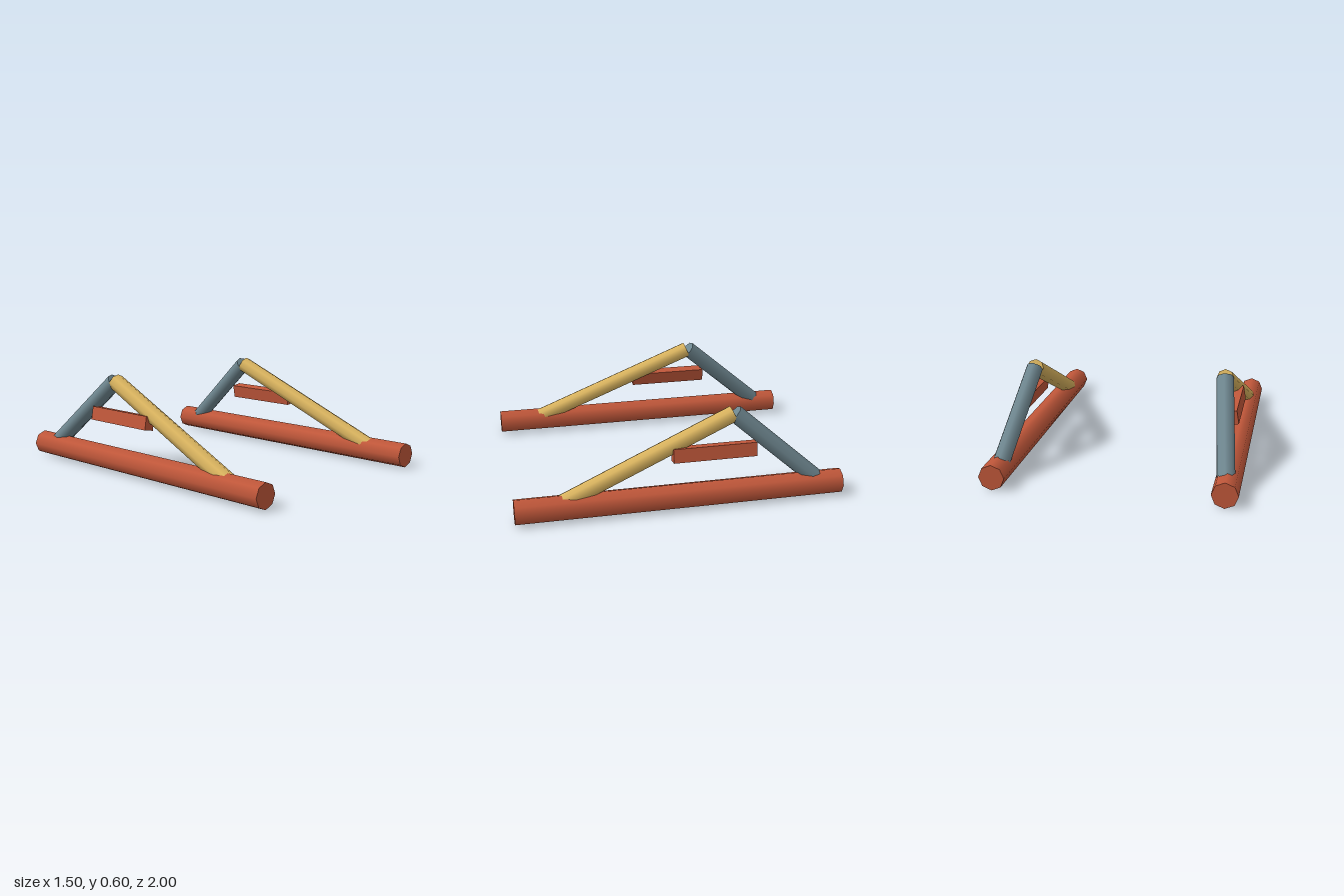
import * as THREE from 'three';

const red = new THREE.MeshStandardMaterial({ color: 0xc0573a });
const gold = new THREE.MeshStandardMaterial({ color: 0xdab45f });
const slate = new THREE.MeshStandardMaterial({ color: 0x6f8790 });

// Eight-sided smooth rod between two points
function rod(name, from, to, radius, material) {
  const a = new THREE.Vector3(...from);
  const b = new THREE.Vector3(...to);
  const mesh = new THREE.Mesh(new THREE.CylinderGeometry(radius, radius, a.distanceTo(b), 8), material);
  mesh.name = name;
  mesh.position.lerpVectors(a, b, 0.5);
  mesh.quaternion.setFromUnitVectors(new THREE.Vector3(0, 1, 0), b.sub(a).normalize());
  return mesh;
}

// One runner with its two struts and step; s = 1 for left, -1 for right
function createSide(s) {
  const side = new THREE.Group();
  side.name = s > 0 ? 'leftSide' : 'rightSide';
  const skidX = s * 0.673;
  const skidY = 0.0785;

  side.add(rod('skid', [skidX, skidY, 1], [skidX, skidY, -1], 0.0775, red));

  // Struts lean inward and meet above the skid
  side.add(rod('frontStrut', [s * 0.668, skidY, 0.775], [s * 0.595, 0.551, -0.326], 0.053, gold));
  side.add(rod('rearStrut', [s * 0.668, skidY, -0.88], [s * 0.595, 0.553, -0.336], 0.053, slate));

  // Step bar, tilted with the struts
  const step = new THREE.Mesh(new THREE.BoxGeometry(0.065, 0.085, 0.51), red);
  step.name = 'step';
  step.position.set(s * 0.657, 0.343, -0.2);
  step.rotation.z = s * 0.17;
  side.add(step);
  return side;
}

export function createModel() {
  const model = new THREE.Group();
  model.name = 'landingSkids';
  for (const s of [1, -1]) model.add(createSide(s));
  return model;
}
